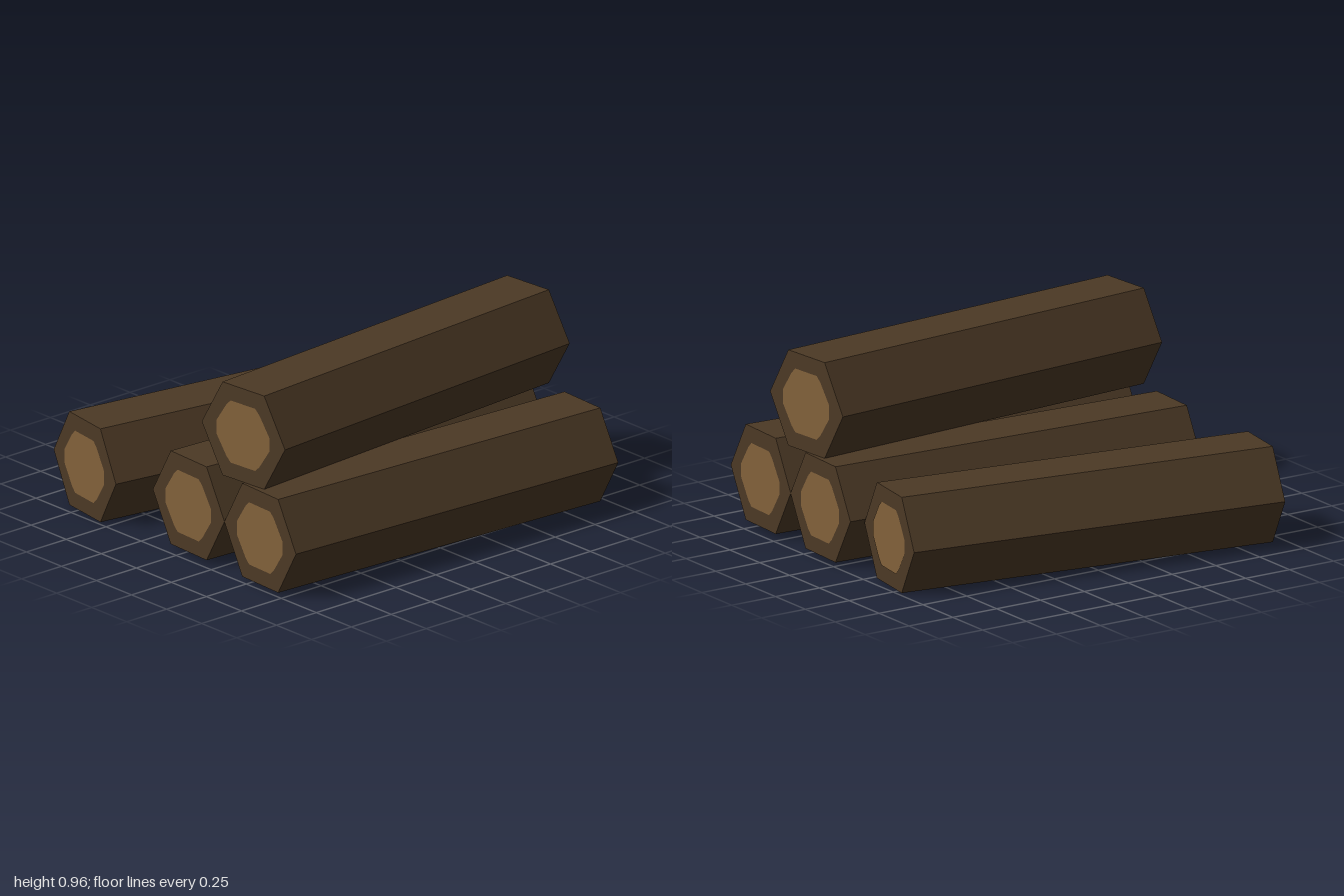
import * as THREE from 'three';

const RADIUS = 0.272;
const LENGTH = 1.937;

// centre and turn about y of each log
const LOGS = [
  { name: 'frontLog', at: [-0.018, 0.253, 0.633], turn: -0.052 },
  { name: 'middleLog', at: [0.011, 0.253, 0.09], turn: -0.052 },
  { name: 'backLog', at: [-0.002, 0.236, -0.55], turn: -0.153 },
  { name: 'topLog', at: [-0.002, 0.725, 0.361], turn: 0.084 },
];

// six-sided outline with trimmed corners for the cut wood
function heartwoodShape() {
  const quarter = [[0.173, 0.034], [0.108, 0.13], [0.08, 0.157]];
  const points = [
    ...quarter,
    ...quarter.map(([x, y]) => [-x, y]).reverse(),
    ...quarter.map(([x, y]) => [-x, -y]),
    ...quarter.map(([x, y]) => [x, -y]).reverse(),
  ];
  return new THREE.Shape(points.map(([x, y]) => new THREE.Vector2(x, y)));
}

export function createModel() {
  const bark = new THREE.MeshStandardMaterial({ color: 0x4c3925 });
  bark.name = 'bark';
  const cutWood = new THREE.MeshStandardMaterial({ color: 0x82613a });
  cutWood.name = 'cutWood';

  // hexagonal trunk lying along x, flat faces up and down
  const trunkGeometry = new THREE.CylinderGeometry(RADIUS, RADIUS, LENGTH, 6)
    .rotateZ(Math.PI / 2)
    .toNonIndexed();
  trunkGeometry.computeVertexNormals();
  const heartwoodGeometry = new THREE.ShapeGeometry(heartwoodShape());

  const model = new THREE.Group();
  model.name = 'logPile';
  for (const { name, at, turn } of LOGS) {
    const log = new THREE.Group();
    log.name = name;
    log.position.set(...at);
    log.rotation.y = turn;

    const trunk = new THREE.Mesh(trunkGeometry, bark);
    trunk.name = 'trunk';
    log.add(trunk);

    // pale cut wood on both ends
    for (const side of [-1, 1]) {
      const end = new THREE.Mesh(heartwoodGeometry, cutWood);
      end.name = side > 0 ? 'leftHeartwood' : 'rightHeartwood';
      end.position.x = side * (LENGTH / 2 + 0.003);
      end.rotation.y = side * Math.PI / 2;
      log.add(end);
    }
    model.add(log);
  }
  return model;
}
